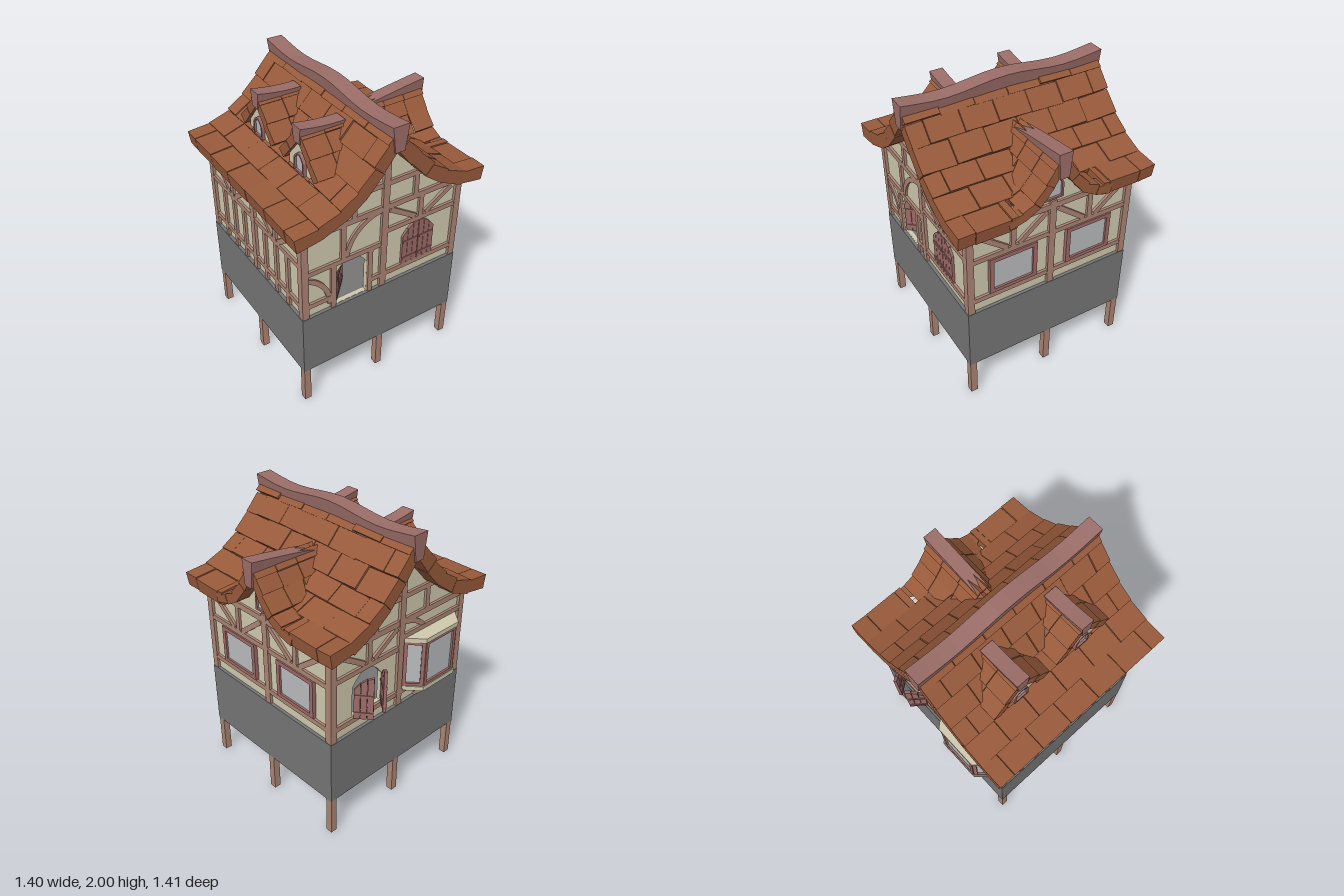
import * as THREE from 'three';
import { mergeGeometries } from 'three/addons/utils/BufferGeometryUtils.js';

const mat = (color) => new THREE.MeshStandardMaterial({ color, flatShading: true });
const M = {
  stone: mat(0x757575), plaster: mat(0xcfc9ae), timber: mat(0xaa8473), tile: mat(0x985a3b),
  ridge: mat(0x9b6d68), frame: mat(0x9c6a66), glass: mat(0xb8babc),
};
let seed = 7;
const rand = () => (seed = (seed * 16807) % 2147483647) / 2147483647 - 0.5;

// Roof surface, from ridge to eave, as distance from the centre and height
const ROOF = [[0.03, 1.93], [0.07, 1.875], [0.16, 1.76], [0.27, 1.64], [0.385, 1.555], [0.53, 1.485], [0.69, 1.46]];
function roofX(y) {
  for (let i = 1; i < ROOF.length; i++) {
    const [x0, y0] = ROOF[i - 1], [x1, y1] = ROOF[i];
    if (y >= y1) return Math.max(0, x0 + (x1 - x0) * (y - y0) / (y1 - y0));
  }
  return 0.69;
}

function add(parent, name, geo, material) {
  const mesh = new THREE.Mesh(geo, material);
  mesh.name = name;
  parent.add(mesh);
  return mesh;
}
const toShape = (pts) => new THREE.Shape(pts.map(([x, y]) => new THREE.Vector2(x, y)));
const prism = (shape, z0, z1, steps = 1) =>
  new THREE.ExtrudeGeometry(shape, { depth: z1 - z0, steps, bevelEnabled: false, curveSegments: 10 }).translate(0, 0, z0);
function move(geo, rule) {
  const p = geo.attributes.position, v = new THREE.Vector3();
  for (let i = 0; i < p.count; i++) { rule(v.fromBufferAttribute(p, i)); p.setXYZ(i, v.x, v.y, v.z); }
  geo.computeVertexNormals();
  return geo;
}
function arch(u0, u1, v0, spring, top) {
  const s = new THREE.Shape();
  s.moveTo(u0, v0); s.lineTo(u1, v0); s.lineTo(u1, spring);
  s.quadraticCurveTo((u0 + u1) / 2, 2 * top - spring, u0, spring);
  s.lineTo(u0, v0);
  return s;
}
const rect = (u0, u1, v0, v1) => toShape([[u0, v0], [u1, v0], [u1, v1], [u0, v1]]);

// Cross-section of one row of tiles; the lower edge laps outwards
function rowSection(profile, i, t, side, lap) {
  const normal = (k) => {
    const a = profile[Math.max(0, k - 1)], b = profile[Math.min(profile.length - 1, k + 1)];
    const l = Math.hypot(b[0] - a[0], b[1] - a[1]);
    return [(a[1] - b[1]) / l, (b[0] - a[0]) / l];
  };
  const pt = (k, d) => { const n = normal(k); return [side * (profile[k][0] + n[0] * d), profile[k][1] + n[1] * d]; };
  return toShape([pt(i, 0), pt(i + 1, lap), pt(i + 1, -t), pt(i, -t)]);
}

// Timber between two points on a wall face
function beam(face, u0, v0, u1, v1, w = 0.035) {
  const m = add(face, 'timber', new THREE.BoxGeometry(Math.hypot(u1 - u0, v1 - v0), w, 0.035), M.timber);
  m.position.set((u0 + u1) / 2, (v0 + v1) / 2, 0.585);
  m.rotation.z = Math.atan2(v1 - v0, u1 - u0);
}
function curvedBrace(face, cx, cy, r, a0, a1) {
  const s = new THREE.Shape();
  s.absarc(cx, cy, r + 0.017, a0, a1, false);
  s.absarc(cx, cy, r - 0.017, a1, a0, true);
  add(face, 'curvedBrace', prism(s, 0.57, 0.6), M.timber);
}
// Upright with a brace on each side
function fanBrace(face, u, v0, v1) {
  beam(face, u, v0, u, v1);
  for (const s of [-1, 1]) beam(face, u + s * 0.04, v0 + 0.01, u + s * 0.24, v1 - 0.02);
}
function framed(parent, outer, inner, z) {
  const glass = inner.clone();
  outer.holes.push(inner);
  add(parent, 'windowFrame', prism(outer, z - 0.01, z + 0.022), M.frame);
  add(parent, 'windowGlass', prism(glass, z - 0.005, z + 0.008), M.glass);
}

// Plank leaf hinged at its local x = 0
function leaf(parent, name, x, y, z, w, spring, top, planks, half, turn) {
  const g = new THREE.Group();
  g.name = name;
  const dir = Math.sign(w), W = Math.abs(w);
  const h = (t) => spring + (top - spring) * (1 - (half ? 1 - t : 2 * t - 1) ** 2);
  for (let i = 0; i < planks; i++) {
    const a = i / planks, b = (i + 0.93) / planks, c = (a + b) / 2;
    add(g, 'plank', prism(toShape([[a * w, 0], [b * w, 0], [b * w, h(b)], [c * w, h(c)], [a * w, h(a)]]), -0.01, 0.01), M.frame);
  }
  for (const f of [0.2, 0.8]) {
    add(g, 'strap', new THREE.BoxGeometry(W * 0.9, 0.018, 0.03), M.frame).position.set(dir * W * 0.48, spring * f, 0);
  }
  g.position.set(x, y, z);
  g.rotation.y = turn;
  parent.add(g);
}

// Ridge cap along z, wedge shaped, with its top following a curve
function ridgeCap(parent, z0, z1, topY, h, wTop, wBottom) {
  const s = toShape([[-wBottom, -h], [wBottom, -h], [wTop, 0], [-wTop, 0]]);
  return add(parent, 'ridgeCap', move(prism(s, z0, z1, 14), (v) => { v.y += topY(v.z); }), M.ridge);
}

function dormer(face, u, d) {
  const g = new THREE.Group();
  g.name = 'dormer';
  g.position.x = u;
  face.add(g);
  const parts = [];
  for (const side of [-1, 1]) for (let i = 0; i + 1 < d.profile.length; i++) {
    const end = roofX(d.profile[i][1]) - 0.04;
    for (let z1 = d.front - (i % 2 ? 0.003 : 0); z1 > end + 0.02; z1 -= 0.16) {
      const z0 = z1 - 0.157, j = rand() * 0.008;
      parts.push(move(prism(rowSection(d.profile, i, d.t, side, 0.01), z0, z1),
        (v) => { v.z = Math.min(z1, Math.max(v.z, roofX(v.y) - 0.04)); v.y += j; }));
    }
  }
  add(g, 'dormerTiles', mergeGeometries(parts), M.tile);
  const mirrored = [...d.wall, ...d.wall.slice().reverse().map(([x, y]) => [-x, y])];
  add(g, 'dormerWall', prism(toShape(mirrored), d.wallZ - d.depth, d.wallZ), M.plaster);
  const [w, v0, spring, top] = d.window;
  framed(g, arch(-w, w, v0, spring, top), arch(-w + 0.013, w - 0.013, v0 + 0.013, spring, top - 0.013), d.wallZ);
  ridgeCap(g, d.ridge[0], d.ridge[1], d.topY, d.ridgeH, 0.047, 0.032);
}

export function createModel() {
  const house = new THREE.Group();
  house.name = 'house';
  const [front, right, back, left] = ['frontFace', 'rightHandFace', 'backFace', 'leftHandFace'].map((name, i) => {
    const f = new THREE.Group();
    f.name = name;
    f.rotation.y = i * Math.PI / 2;
    house.add(f);
    return f;
  });

  // Foundation and the posts running down through it
  add(house, 'foundation', new THREE.BoxGeometry(1.215, 0.465, 1.215), M.stone).position.y = 0.5125;
  for (const x of [-1, 0, 1]) for (const z of [-1, 0, 1]) if (x || z) {
    const top = x === 0 ? 1.83 : 1.41;
    add(house, 'post', new THREE.BoxGeometry(0.048, top, 0.048), M.timber).position.set(x * 0.581, top / 2, z * 0.581);
  }

  // Gable walls with door, window and bay openings
  const slope = ROOF.slice(1, -1).map(([x, y]) => [x, y - 0.06]);
  const gable = [[-0.585, 0.745], [0.585, 0.745], [0.585, 1.41], ...slope.slice().reverse(), [0, 1.86],
    ...slope.map(([x, y]) => [-x, y]), [-0.585, 1.41]];
  const frontWall = toShape(gable), backWall = toShape(gable);
  frontWall.holes.push(arch(-0.355, -0.118, 0.747, 0.99, 1.085));
  backWall.holes.push(arch(-0.41, -0.16, 0.855, 1.07, 1.16), rect(0.08, 0.48, 0.87, 1.2));
  add(front, 'gableWall', prism(frontWall, 0.555, 0.585), M.plaster);
  add(back, 'gableWall', prism(backWall, 0.555, 0.585), M.plaster);
  for (const f of [right, left]) add(f, 'sideWall', prism(rect(-0.57, 0.57, 0.745, 1.42), 0.555, 0.585), M.plaster);

  // Timbers shared by the faces
  for (const f of [front, right, back, left]) beam(f, -0.58, 1.37, 0.58, 1.37, 0.04);
  for (const f of [front, back]) {
    beam(f, -0.36, 1.545, 0.36, 1.545);
    for (const s of [-1, 1]) beam(f, s * 0.23, 1.39, s * 0.23, 1.53);
  }

  // Front: doorway on one half, closed shutters on the other
  beam(front, 0, 0.835, 0.58, 0.835);
  beam(front, -0.58, 0.835, -0.39, 0.835);
  beam(front, 0, 1.185, 0.58, 1.185);
  beam(front, -0.58, 1.095, 0, 1.095);
  beam(front, -0.375, 0.745, -0.375, 1.08);
  beam(front, -0.1, 0.745, -0.1, 1.08);
  beam(front, -0.1, 0.835, 0, 0.835);
  beam(front, -0.305, 1.1, -0.305, 1.36);
  curvedBrace(front, 0, 1.08, 0.28, Math.PI / 2, Math.PI);
  curvedBrace(front, -0.68, 0.79, 0.28, 0, 1.13);
  fanBrace(front, 0.28, 1.2, 1.36);
  leaf(front, 'door', -0.352, 0.75, 0.575, 0.225, 0.23, 0.325, 5, false, 0.8);
  leaf(front, 'shutter', 0.15, 0.85, 0.592, 0.125, 0.225, 0.315, 3, true, 0);
  leaf(front, 'shutter', 0.4, 0.85, 0.592, -0.125, 0.225, 0.315, 3, true, 0);

  // Back: open shutters and bay window
  beam(back, -0.58, 0.835, 0.58, 0.835);
  beam(back, -0.58, 1.185, 0, 1.185);
  beam(back, 0, 1.255, 0.58, 1.255);
  fanBrace(back, -0.28, 1.2, 1.36);
  curvedBrace(back, 0, 1.08, 0.28, Math.PI * 0.14, Math.PI / 2);
  leaf(back, 'shutter', -0.41, 0.855, 0.6, 0.125, 0.215, 0.305, 3, true, -0.9);
  leaf(back, 'shutter', -0.16, 0.855, 0.6, -0.125, 0.215, 0.305, 3, true, 0.9);
  const bay = new THREE.Group();
  bay.name = 'bayWindow';
  bay.position.set(0.28, 0, 0.59);
  back.add(bay);
  const plan = [[-0.24, 0], [-0.145, 0.1], [0.145, 0.1], [0.24, 0]];
  for (const y of [0.872, 1.24]) {
    const slab = toShape(plan.map(([x, z]) => [x * 1.07, z * 1.15 - 0.003]));
    add(bay, 'baySlab', prism(slab, 0, 0.032).rotateX(Math.PI / 2).translate(0, y, 0), M.plaster);
  }
  for (let i = 0; i < 3; i++) {
    const [a, b] = [plan[i], plan[i + 1]], w = Math.hypot(b[0] - a[0], b[1] - a[1]) / 2;
    const panel = new THREE.Group();
    panel.name = 'bayPanel';
    panel.position.set((a[0] + b[0]) / 2, 0, (a[1] + b[1]) / 2);
    panel.rotation.y = -Math.atan2(b[1] - a[1], b[0] - a[0]);
    framed(panel, rect(-w, w, 0.868, 1.212), rect(-w + 0.024, w - 0.024, 0.893, 1.187), -0.015);
    bay.add(panel);
  }
  for (const s of [-1, 1]) {
    const b = add(bay, 'bayBracket', new THREE.BoxGeometry(0.025, 0.15, 0.022), M.timber);
    b.position.set(s * 0.11, 0.795, 0.052);
    b.rotation.x = 0.8;
  }

  // Side with two windows
  for (const v of [0.84, 1.16]) beam(right, -0.58, v, 0.58, v);
  for (const s of [-1, 1]) {
    fanBrace(right, s * 0.28, 1.17, 1.36);
    framed(right, rect(s * 0.28 - 0.17, s * 0.28 + 0.17, 0.865, 1.142),
      rect(s * 0.28 - 0.14, s * 0.28 + 0.14, 0.892, 1.112), 0.59);
  }

  // Side with close studding
  for (const v of [0.84, 1.16]) beam(left, -0.58, v, 0.58, v);
  for (const s of [-1, 1]) {
    fanBrace(left, s * 0.28, 1.17, 1.36);
    for (const u of [0.14, 0.28, 0.42]) beam(left, s * u, 0.745, s * u, 1.16);
  }

  // Main roof: staggered rows of thick tiles, with a gap for the large dormer
  const tiles = [];
  for (const side of [-1, 1]) {
    const profile = ROOF.map(([x, y], i) => (side < 0 && i > 4 ? [x + 0.005, y + 0.01] : [x, y]));
    for (let i = 0; i + 1 < profile.length; i++) {
      for (let c = -1; c < 6; c++) {
        const start = -0.695 + (c + (i % 2) / 2) * 0.2317;
        const z0 = Math.max(-0.695, start), z1 = Math.min(0.695, start + 0.2317);
        if (z1 - z0 < 0.02) continue;
        const cut = side > 0 && i === 5 ? [[z0, Math.min(z1, -0.3)], [Math.max(z0, 0.3), z1]] : [[z0, z1]];
        for (const [a, b] of cut) if (b - a > 0.02) {
          const j = rand() * 0.012, k = rand() * 0.008;
          tiles.push(move(prism(rowSection(profile, i, 0.085, side, 0.012), a + 0.002, b - 0.002),
            (v) => { v.y += j + (v.z > (a + b) / 2 ? k : -k); }));
        }
      }
    }
  }
  add(house, 'roofTiles', mergeGeometries(tiles), M.tile);
  ridgeCap(house, -0.703, 0.703, (z) => 1.982 + 0.018 * Math.cos(z * 7.5), 0.17, 0.057, 0.033);

  // Large dormer on one side, two small ones on the other
  dormer(right, 0, {
    profile: [[0.025, 1.755], [0.06, 1.7], [0.11, 1.615], [0.19, 1.515], [0.27, 1.47], [0.37, 1.445]],
    t: 0.06, front: 0.688, wallZ: 0.587, depth: 0.03, window: [0.065, 1.425, 1.53, 1.59],
    wall: [[0.33, 1.38], [0.33, 1.42], [0.26, 1.44], [0.18, 1.49], [0.1, 1.58], [0.04, 1.68]],
    ridge: [0.215, 0.7], ridgeH: 0.175, topY: (z) => 1.735 + 0.075 * ((z - 0.215) / 0.485) ** 0.8,
  });
  for (const u of [-0.25, 0.25]) dormer(left, u, {
    profile: [[0.02, 1.855], [0.05, 1.82], [0.13, 1.725], [0.215, 1.625]],
    t: 0.055, front: 0.4, wallZ: 0.375, depth: 0.2, window: [0.055, 1.57, 1.66, 1.71],
    wall: [[0.14, 1.48], [0.14, 1.67], [0.03, 1.8]],
    ridge: [0.095, 0.406], ridgeH: 0.11, topY: (z) => 1.865 + 0.03 * ((z - 0.12) / 0.28) ** 2,
  });
  return house;
}
